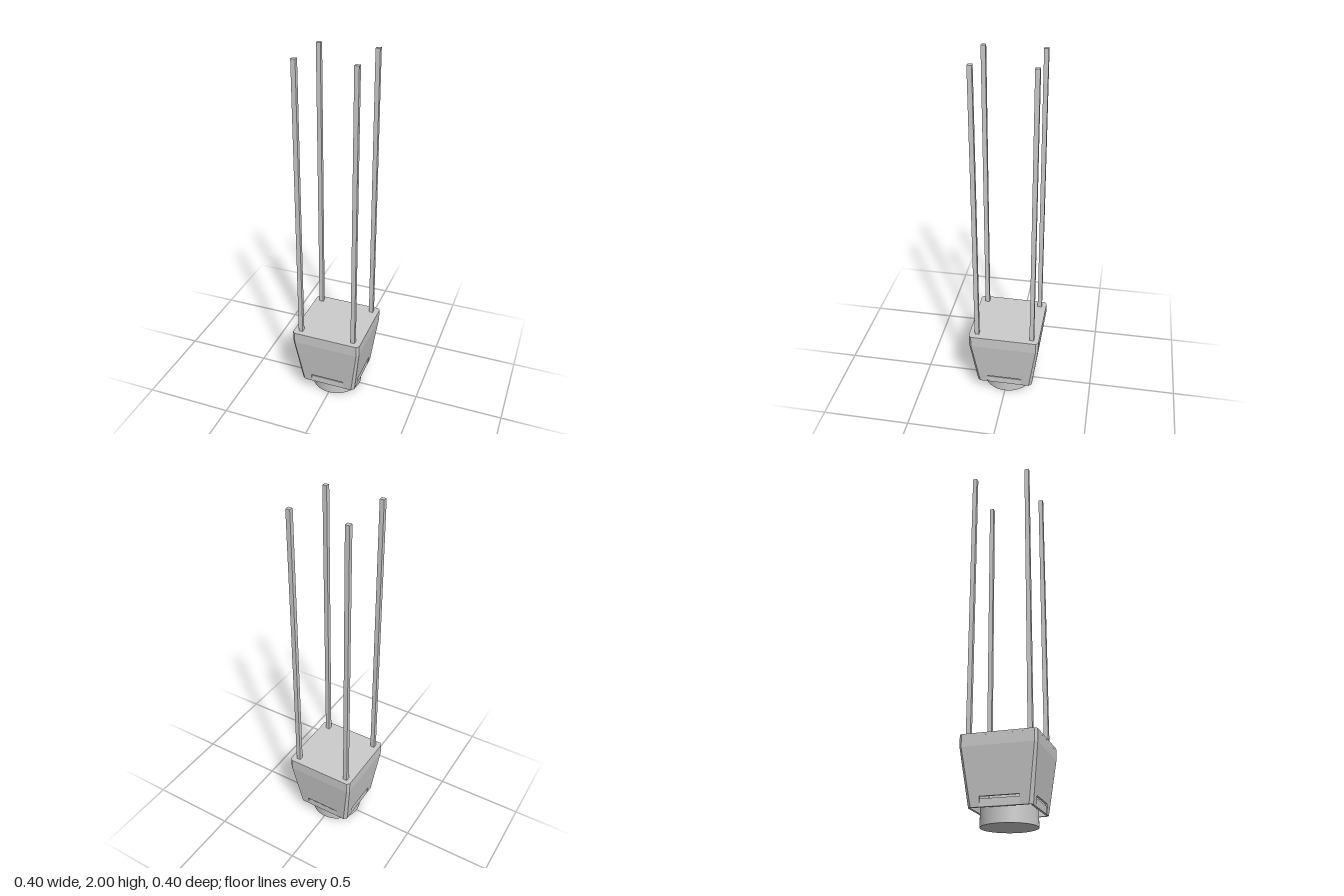
import * as THREE from 'three';

const material = new THREE.MeshStandardMaterial({ color: 0xcccccc, flatShading: true });
const openMaterial = new THREE.MeshStandardMaterial({ color: 0xcccccc, flatShading: true, side: THREE.DoubleSide });
const smoothMaterial = new THREE.MeshStandardMaterial({ color: 0xcccccc });

// Housing levels: y, half width of a flat face, distance of that face from the axis
const LEVELS = [
  { y: 0.075, w: 0.145, d: 0.162 },
  { y: 0.365, w: 0.186, d: 0.199 },
  { y: 0.43, w: 0.186, d: 0.2 },
];
const WALL = 0.012;

function shapeOf(points) {
  return new THREE.Shape(points.map(([x, y]) => new THREE.Vector2(x, y)));
}

function add(parent, name, geometry, mat = material) {
  const mesh = new THREE.Mesh(geometry, mat);
  mesh.name = name;
  parent.add(mesh);
  return mesh;
}

// Flat panel between two levels, leaned outwards to follow the taper
function panel(a, b, notch = []) {
  const shape = shapeOf([[-a.w, a.y], ...notch, [a.w, a.y], [b.w, b.y], [-b.w, b.y]]);
  const geometry = new THREE.ExtrudeGeometry(shape, { depth: WALL, bevelEnabled: false });
  const p = geometry.attributes.position;
  for (let i = 0; i < p.count; i++) {
    const t = (p.getY(i) - a.y) / (b.y - a.y);
    p.setZ(i, p.getZ(i) - WALL + a.d + (b.d - a.d) * t);
  }
  geometry.computeVertexNormals();
  return geometry;
}

// Chamfer strip joining two neighbouring panels
function corner() {
  const positions = [];
  const index = [];
  LEVELS.forEach(({ y, w, d }, i) => {
    positions.push(w, y, d, d, y, w);
    if (i > 0) {
      const k = i * 2;
      index.push(k - 2, k - 1, k + 1, k - 2, k + 1, k);
    }
  });
  const geometry = new THREE.BufferGeometry();
  geometry.setAttribute('position', new THREE.Float32BufferAttribute(positions, 3));
  geometry.setIndex(index);
  geometry.computeVertexNormals();
  return geometry;
}

export function createModel() {
  const model = new THREE.Group();
  model.name = 'postLamp';
  const [bottom, shoulder, top] = LEVELS;

  // Four tapered sides, each with a vent slot above a small tab
  const notch = [[-0.1, 0.075], [-0.1, 0.125], [0.1, 0.125], [0.1, 0.075]];
  for (let i = 0; i < 4; i++) {
    const side = new THREE.Group();
    side.name = 'housingSide';
    side.rotation.y = i * Math.PI / 2;
    add(side, 'lowerPanel', panel(bottom, shoulder, notch));
    add(side, 'upperBand', panel(shoulder, top));
    add(side, 'cornerChamfer', corner(), openMaterial);
    const tab = add(side, 'ventTab', new THREE.BoxGeometry(0.2, 0.04, WALL));
    tab.position.set(0, 0.095, bottom.d - WALL / 2);
    model.add(side);
  }

  // Lid with chamfered corners
  const { w, d } = top;
  const lidShape = shapeOf([[w, -d], [d, -w], [d, w], [w, d], [-w, d], [-d, w], [-d, -w], [-w, -d]]);
  const lid = new THREE.ExtrudeGeometry(lidShape, { depth: WALL, bevelEnabled: false });
  lid.rotateX(-Math.PI / 2);
  add(model, 'lid', lid).position.y = top.y - WALL;

  // Round foot
  add(model, 'foot', new THREE.CylinderGeometry(0.145, 0.145, 0.11, 64), smoothMaterial).position.y = 0.055;

  // Four slim rods, each leaning very slightly: top x, top z, foot offset x and z
  const rods = [
    [-0.158, -0.16, -0.002, -0.002],
    [0.155, -0.16, 0.003, 0.001],
    [-0.158, 0.155, -0.002, 0.002],
    [0.156, 0.155, -0.002, 0.002],
  ];
  const length = 2 - 0.42;
  for (const [x, z, dx, dz] of rods) {
    const geometry = new THREE.BoxGeometry(0.024, length, 0.024);
    const p = geometry.attributes.position;
    for (let i = 0; i < p.count; i++) {
      if (p.getY(i) < 0) p.setXYZ(i, p.getX(i) + dx, p.getY(i), p.getZ(i) + dz);
    }
    add(model, 'rod', geometry).position.set(x, 2 - length / 2, z);
  }
  return model;
}
